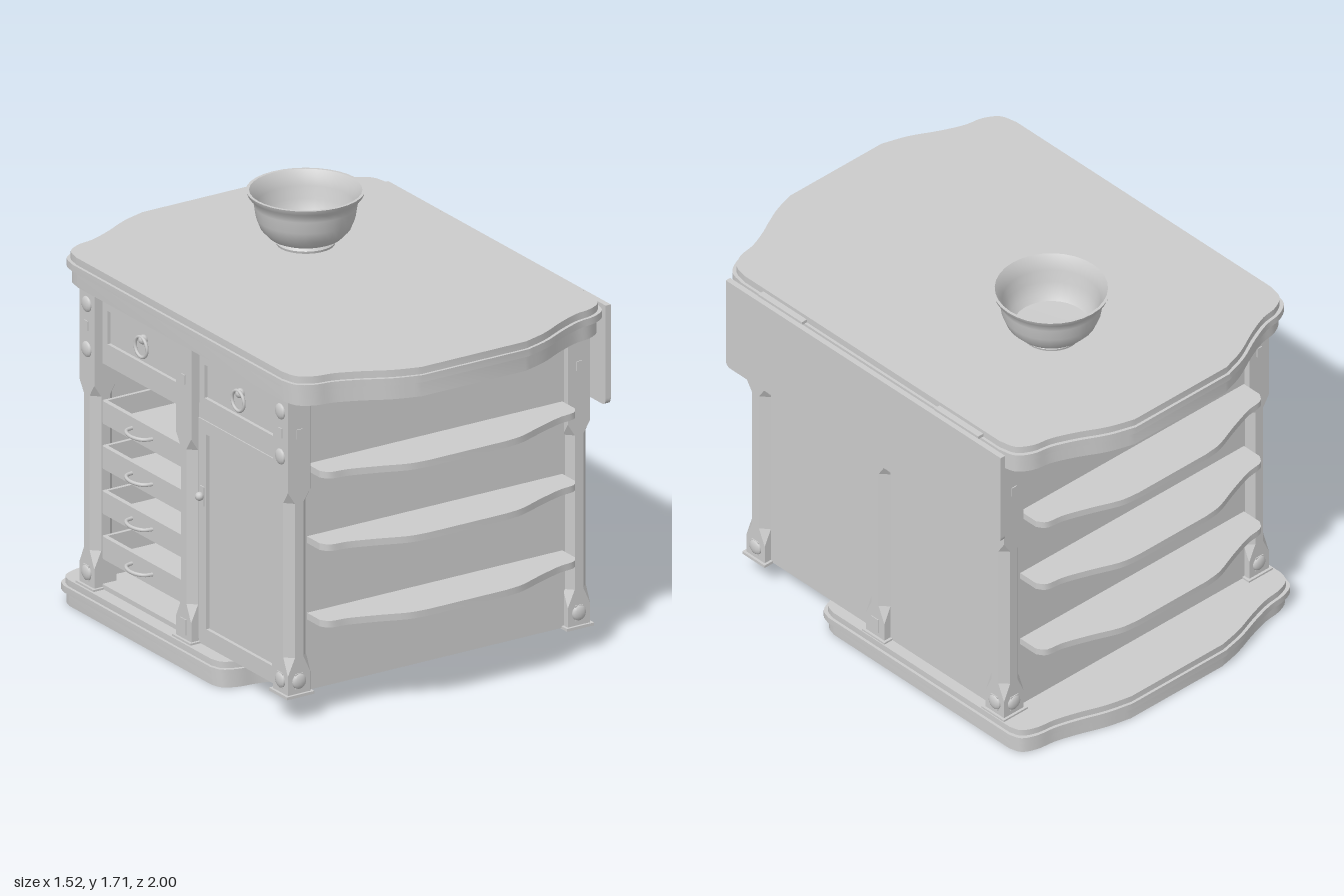
import * as THREE from 'three';
import { toCreasedNormals } from 'three/addons/utils/BufferGeometryUtils.js';

const mat = new THREE.MeshStandardMaterial({ color: 0xcccccc, side: THREE.DoubleSide });
const CX = -0.02; // middle of the cabinet in x

export function createModel() {
  const root = new THREE.Group();

  const add = (name, geo, x = 0, y = 0, z = 0, parent = root) => {
    const m = new THREE.Mesh(geo, mat);
    m.name = name;
    m.position.set(x, y, z);
    parent.add(m);
    return m;
  };
  // box given by its limits
  const box = (name, x0, x1, y0, y1, z0, z1, parent = root) =>
    add(name, new THREE.BoxGeometry(x1 - x0, y1 - y0, z1 - z0),
      (x0 + x1) / 2, (y0 + y1) / 2, (z0 + z1) / 2, parent);

  // plan shape extruded upward
  const flat = (pts, h) => {
    const g = new THREE.ExtrudeGeometry(new THREE.Shape(pts), { depth: h, bevelEnabled: false });
    g.rotateX(-Math.PI / 2);
    return toCreasedNormals(g, 0.5);
  };
  const smooth = (pts, n) =>
    new THREE.CatmullRomCurve3(pts.map(([x, y]) => new THREE.Vector3(x, y, 0)))
      .getPoints(n).map((p) => new THREE.Vector2(p.x, p.y));

  // serpentine slab, used for worktop and plinth
  const corner = [[0.74, 0.74], [0.72, 0.81], [0.66, 0.85], [0.58, 0.865], [0.48, 0.905], [0.36, 0.965], [0.25, 1]];
  const slab = (name, inset, y0, y1, zScale, zc) => {
    const q = smooth(corner, 24).map((p) =>
      new THREE.Vector2(p.x * (1 - inset / 0.74), p.y * zScale - inset));
    const r = [...q].reverse();
    const pts = [
      ...q,
      ...r.map((p) => new THREE.Vector2(-p.x, p.y)),
      ...q.map((p) => new THREE.Vector2(-p.x, -p.y)),
      ...r.map((p) => new THREE.Vector2(p.x, -p.y)),
    ];
    add(name, flat(pts, y1 - y0), CX, y0, zc);
  };
  slab('worktopLowerMoulding', 0.015, 1.36, 1.425, 1, 0);
  slab('worktopBead', 0, 1.425, 1.455, 1, 0);
  slab('worktop', 0.012, 1.455, 1.485, 1, 0);
  slab('plinth', 0.015, 0, 0.055, 0.7, -0.28);
  slab('plinthBead', 0, 0.055, 0.083, 0.7, -0.28);
  slab('plinthTop', 0.012, 0.083, 0.11, 0.7, -0.28);

  // carcass panels
  box('cabinetFloor', -0.69, 0.66, 0.11, 0.13, -0.7, 0.7);
  box('sidePanel', 0.64, 0.66, 0.11, 1.36, -0.7, 0.7);
  box('divider', -0.66, 0.64, 0.13, 1.36, -0.012, 0.012);
  for (const s of [-1, 1]) {
    add('endPanel', new THREE.BoxGeometry(1.32, 1.25, 0.02), CX, 0.735, s * 0.7);
  }

  // posts: square ends, chamfered middle
  const H = 0.053;
  const postGeometry = () => {
    const rings = [[0.11, 0.001], [0.2, 0.001], [0.27, 0.033], [0.92, 0.033], [0.97, 0.001], [1.36, 0.001]]
      .map(([y, c]) => {
        const k = H - c;
        return [[H, k], [k, H], [-k, H], [-H, k], [-H, -k], [-k, -H], [k, -H], [H, -k]]
          .map(([x, z]) => [x, y, z]);
      });
    const v = [];
    for (let i = 0; i < rings.length - 1; i++) {
      for (let j = 0; j < 8; j++) {
        const n = (j + 1) % 8;
        const a = rings[i][j], b = rings[i][n], c = rings[i + 1][n], d = rings[i + 1][j];
        v.push(...a, ...d, ...c, ...a, ...c, ...b);
      }
    }
    const g = new THREE.BufferGeometry();
    g.setAttribute('position', new THREE.Float32BufferAttribute(v, 3));
    g.computeVertexNormals();
    return g;
  };
  const post = postGeometry();
  const stud = new THREE.SphereGeometry(0.033, 12, 8);
  for (const px of [-0.675, 0.64]) {
    for (const pz of [-0.685, 0, 0.685]) {
      const g = new THREE.Group();
      g.name = 'post';
      g.position.set(px, 0, pz);
      root.add(g);
      add('postShaft', post, 0, 0, 0, g);
      add('postFoot', new THREE.BoxGeometry(0.128, 0.012, 0.128), 0, 0.112, 0, g);
      // square pegs and low round studs on the outer faces
      const ox = Math.sign(px), oz = Math.sign(pz);
      add('sidePeg', new THREE.BoxGeometry(0.008, 0.04, 0.026), ox * H, 1.21, 0, g);
      add('sideBlock', new THREE.BoxGeometry(0.008, 0.065, 0.04), ox * H, 0.17, 0, g);
      for (const y of oz ? [0.17, 1.11, 1.3] : []) {
        add('sideStud', stud, ox * H, y, 0, g).scale.x = 0.4;
      }
      if (oz) {
        add('endPeg', new THREE.BoxGeometry(0.026, 0.04, 0.008), 0, 1.21, oz * H, g);
        add('endBlock', new THREE.BoxGeometry(0.04, 0.065, 0.008), 0, 0.17, oz * H, g);
        add('endStud', stud, 0, 0.17, oz * H, g).scale.z = 0.4;
      }
    }
  }

  // wavy open shelves on both ends
  const half = smooth([[0.6, 0.8], [0.575, 0.832], [0.5, 0.845], [0.38, 0.885], [0.26, 0.93], [0.18, 0.94]], 18);
  const shelfPts = [new THREE.Vector2(0.6, 0.7), ...half,
    ...[...half].reverse().map((p) => new THREE.Vector2(-p.x, p.y)), new THREE.Vector2(-0.6, 0.7)];
  const shelf = flat(shelfPts, 0.028);
  for (const y of [0.408, 0.73, 1.035]) {
    add('backShelf', shelf, CX, y, 0);
    add('frontShelf', shelf, CX, y, 0).rotation.y = Math.PI;
  }

  // framed front with recessed panel, facing -x
  const framed = (name, zc, y0, y1, w, border) => {
    const g = new THREE.Group();
    g.name = name;
    root.add(g);
    const rect = (P, a, b) => {
      const p = new P();
      p.moveTo(-a, -b); p.lineTo(a, -b); p.lineTo(a, b); p.lineTo(-a, b); p.closePath();
      return p;
    };
    const h = (y1 - y0) / 2;
    const s = rect(THREE.Shape, w / 2, h);
    s.holes.push(rect(THREE.Path, w / 2 - border, h - border));
    const f = new THREE.ExtrudeGeometry(s, { depth: 0.03, bevelEnabled: false });
    f.rotateY(-Math.PI / 2);
    add('frame', f, -0.665, (y0 + y1) / 2, zc, g);
    box('panel', -0.68, -0.66, y0 + 0.01, y1 - 0.01, zc - w / 2 + 0.01, zc + w / 2 - 0.01, g);
    return g;
  };

  // drawers with ring pulls, and the rails around them
  for (const zc of [-0.343, 0.343]) {
    const d = framed('drawer', zc, 1.12, 1.33, 0.56, 0.035);
    add('ringPull', new THREE.TorusGeometry(0.042, 0.007, 8, 24), -0.7, 1.225, zc, d).rotation.y = Math.PI / 2;
    add('pullBoss', new THREE.SphereGeometry(0.02, 12, 8), -0.69, 1.255, zc, d);
    box('topRail', -0.69, -0.64, 1.33, 1.36, zc - 0.3, zc + 0.3);
    box('drawerRail', -0.69, -0.64, 1.06, 1.12, zc - 0.3, zc + 0.3);
    box('drawerFloor', -0.66, 0.64, 1.08, 1.1, zc - 0.32, zc + 0.32);
  }

  // door with a small knob
  const door = framed('door', 0.343, 0.13, 1.06, 0.575, 0.055);
  add('doorKnob', new THREE.SphereGeometry(0.018, 12, 8), -0.71, 0.74, 0.085, door);
  add('doorKeyPlate', new THREE.BoxGeometry(0.006, 0.08, 0.03), -0.697, 0.74, 0.085, door);

  // pull-out trays with bow handles
  const bow = new THREE.TubeGeometry(new THREE.CatmullRomCurve3([
    new THREE.Vector3(0.02, 0, -0.075), new THREE.Vector3(-0.035, 0, -0.06), new THREE.Vector3(-0.055, 0, 0),
    new THREE.Vector3(-0.035, 0, 0.06), new THREE.Vector3(0.02, 0, 0.075)]), 20, 0.008, 8);
  for (const y of [0.29, 0.48, 0.67, 0.86]) {
    const t = new THREE.Group();
    t.name = 'tray';
    t.position.y = y;
    root.add(t);
    box('trayFloor', -0.69, 0.6, -0.05, -0.035, -0.62, -0.06, t);
    box('trayFront', -0.695, -0.675, -0.05, 0.045, -0.62, -0.06, t);
    box('trayBack', 0.58, 0.6, -0.05, 0.045, -0.62, -0.06, t);
    box('traySide', -0.69, 0.6, -0.05, 0.045, -0.63, -0.615, t);
    box('traySide', -0.69, 0.6, -0.05, 0.045, -0.065, -0.05, t);
    add('trayHandle', bow, -0.695, 0, -0.343, t);
  }

  // hanging drop leaf with rounded lower corners, and its hinges
  const L = 0.787, r = 0.03;
  const leaf = new THREE.Shape();
  leaf.moveTo(-L, 1.458);
  leaf.lineTo(-L, 1.037 + r);
  leaf.quadraticCurveTo(-L, 1.037, -L + r, 1.037);
  leaf.lineTo(L - r, 1.037);
  leaf.quadraticCurveTo(L, 1.037, L, 1.037 + r);
  leaf.lineTo(L, 1.458);
  const leafGeo = new THREE.ExtrudeGeometry(leaf, { depth: 0.024, bevelEnabled: false });
  leafGeo.rotateY(-Math.PI / 2);
  add('dropLeaf', leafGeo, 0.757);
  for (const z of [-0.51, 0.5]) box('leafHinge', 0.7, 0.735, 1.455, 1.469, z - 0.125, z + 0.125);

  // bowl
  const profile = [[0, 0], [0.115, 0], [0.118, 0.01], [0.11, 0.02], [0.145, 0.035], [0.178, 0.07],
    [0.196, 0.115], [0.204, 0.165], [0.21, 0.19], [0.226, 0.205], [0.234, 0.225], [0.222, 0.225],
    [0.205, 0.2], [0.194, 0.165], [0.184, 0.115], [0.168, 0.07], [0.15, 0.045], [0, 0.04]];
  const bowl = new THREE.LatheGeometry(profile.map(([x, y]) => new THREE.Vector2(x, y)), 32);
  add('bowl', toCreasedNormals(bowl, 0.8), 0.085, 1.485, -0.36);

  return root;
}
